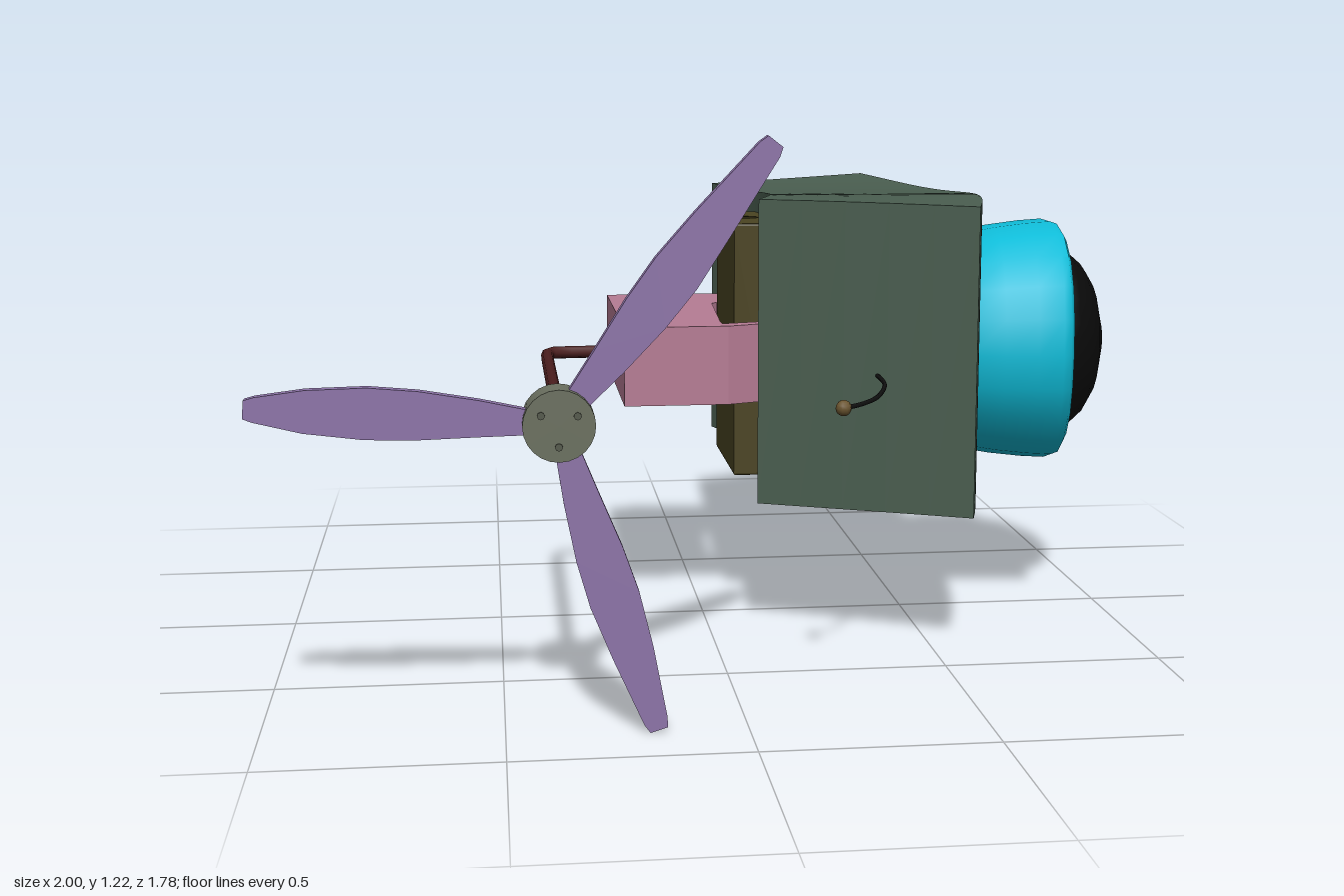
import * as THREE from 'three';
import { toCreasedNormals } from 'three/addons/utils/BufferGeometryUtils.js';

const CENTRE_Z = -0.033, LENS_Y = 0.673;

function part(name, geometry, color, flatShading = false) {
  const material = new THREE.MeshStandardMaterial({ color, flatShading, side: THREE.DoubleSide });
  const mesh = new THREE.Mesh(geometry, material);
  mesh.name = name;
  return mesh;
}

// Moves every vertex of a geometry by a rule
function warp(geometry, rule) {
  const p = geometry.attributes.position;
  for (let i = 0; i < p.count; i++) p.setXYZ(i, ...rule(p.getX(i), p.getY(i), p.getZ(i)));
  geometry.computeVertexNormals();
  return geometry;
}

// Plan outline of [x, z] points raised from y0 to y1, with an optional round hole
function slab(outline, y0, y1, bevel = 0, hole = null) {
  const shape = new THREE.Shape(outline.map(([x, z]) => new THREE.Vector2(x, -z)));
  if (hole) {
    const path = new THREE.Path();
    path.absarc(hole[0], -hole[1], hole[2], 0, Math.PI * 2, true);
    shape.holes.push(path);
  }
  const geometry = new THREE.ExtrudeGeometry(shape, {
    depth: y1 - y0 - 2 * bevel, curveSegments: 20, bevelEnabled: bevel > 0,
    bevelSize: bevel, bevelOffset: -bevel, bevelThickness: bevel, bevelSegments: 2,
  });
  return geometry.rotateX(-Math.PI / 2).translate(0, y0 + bevel, 0);
}

// Turned part on the x axis, bowed slightly to follow the curved body
function turned(profile) {
  const points = profile.map(([r, x]) => new THREE.Vector2(r, x));
  const geometry = new THREE.LatheGeometry(points, 22).rotateZ(-Math.PI / 2);
  warp(geometry, (x, y, z) => [x - 0.35 * z * z, y, z]);
  return toCreasedNormals(geometry, 0.7).translate(0, LENS_Y, CENTRE_Z);
}

function tube(points, radius, curveType = 'catmullrom') {
  const path = new THREE.CatmullRomCurve3(points.map(p => new THREE.Vector3(...p)), false, curveType);
  return new THREE.TubeGeometry(path, 24, radius, 8);
}

// Bent block that flares outwards, with a gently uneven top and bottom
function bodyGeometry() {
  const box = new THREE.BoxGeometry(1, 1, 1, 5, 1, 20);
  warp(box, (u, v, w) => {
    const t = u + 0.5, s = 2 * w;
    const x = THREE.MathUtils.lerp(0.18 - 0.08 * s * s, 0.67 - 0.11 * s * s, t);
    const z = -0.2 + s * THREE.MathUtils.lerp(0.46, 0.69, t);
    const wave = Math.sin((z + 0.1) * 4);
    const y = v > 0 ? 1.035 + 0.013 * wave : 0.337 - 0.006 * Math.cos(z * 5);
    return [x, y, z];
  });
  return toCreasedNormals(box, 0.5);
}

function propeller() {
  const group = new THREE.Group();
  group.name = 'propeller';
  group.position.set(-0.385, 0.65, 0.85);
  const hub = new THREE.CylinderGeometry(0.073, 0.073, 0.08, 24).rotateX(Math.PI / 2);
  group.add(part('propellerHub', hub, 0x6b7060));
  // Small bolts on the hub face
  for (let i = 0; i < 3; i++) {
    const a = i * Math.PI * 2 / 3 + 0.5;
    const bolt = new THREE.CylinderGeometry(0.008, 0.008, 0.006, 8).rotateX(Math.PI / 2);
    bolt.translate(0.042 * Math.cos(a), 0.042 * Math.sin(a), 0.04);
    group.add(part('hubBolt', bolt, 0x55594c));
  }
  // Blade: angle in degrees, length
  for (const [angle, length] of [[52, 0.705], [176, 0.616], [-73, 0.672]]) {
    const edge = [[0.05, -0.024], [0.16, -0.04], [0.28, -0.052], [0.38, -0.054], [0.5, -0.043],
      [length - 0.02, -0.024], [length, -0.017], [length, 0.02], [length - 0.02, 0.026],
      [0.5, 0.043], [0.38, 0.05], [0.28, 0.046], [0.16, 0.034], [0.05, 0.024]];
    const shape = new THREE.Shape(edge.map(([x, y]) => new THREE.Vector2(x, y)));
    const blade = new THREE.ExtrudeGeometry(shape, { depth: 0.025, bevelEnabled: false });
    blade.translate(0, 0, -0.008).rotateZ(angle * Math.PI / 180);
    group.add(part('propellerBlade', blade, 0x8d74a8));
  }
  return group;
}

export function createModel() {
  const model = new THREE.Group();
  model.name = 'model';

  model.add(part('curvedBody', bodyGeometry(), 0x4a5e50));

  // Lens housing and dark dome
  model.add(part('lensRing', turned([[0.24, 0.6], [0.27, 0.64], [0.285, 0.72], [0.295, 0.8],
    [0.299, 0.86], [0.293, 0.878], [0.278, 0.886], [0.255, 0.884], [0.235, 0.86], [0.23, 0.8]]), 0x0fbcd8));
  model.add(part('lensDome', turned([[0.236, 0.84], [0.232, 0.885], [0.22, 0.91], [0.19, 0.945],
    [0.15, 0.97], [0.06, 0.998], [0, 1.0]]), 0x0a0a0a));

  // C-shaped bracket with a thick rear arm and a thin slanted front arm
  model.add(part('bracket', slab([[-0.2, -0.53], [0.15, -0.53], [0.19, -0.5], [0.19, -0.34], [0.075, -0.34],
    [0.06, -0.32], [0.04, 0.03], [0.04, 0.065], [0.17, 0.03], [0.17, 0.065], [0.05, 0.11], [-0.2, 0.11]],
  0.545, 0.735), 0xb67c94));

  // Upright block with a hole down its length
  model.add(part('drilledBlock', slab([[0.075, -0.335], [0.185, -0.335], [0.185, 0.02], [0.075, 0.02]],
    0.35, 0.972, 0.006, [0.125, -0.158, 0.038]), 0x4b4422));

  // Bent shaft and propeller
  model.add(part('shaft', tube([[-0.18, 0.65, -0.08], [-0.34, 0.65, -0.077], [-0.37, 0.65, -0.06],
    [-0.378, 0.65, -0.02], [-0.38, 0.65, 0.4], [-0.382, 0.65, 0.82]], 0.015), 0x4c1e1e));
  model.add(propeller());

  // Curved antenna with a small tip
  model.add(part('antenna', tube([[0.35, 0.655, 0.3], [0.356, 0.655, 0.4], [0.345, 0.655, 0.52],
    [0.3, 0.655, 0.66], [0.25, 0.655, 0.74], [0.205, 0.655, 0.78]], 0.005), 0x101010));
  const tip = new THREE.SphereGeometry(0.017, 10, 8).translate(0.205, 0.655, 0.78);
  model.add(part('antennaTip', tip, 0x6b5530));

  return model;
}
